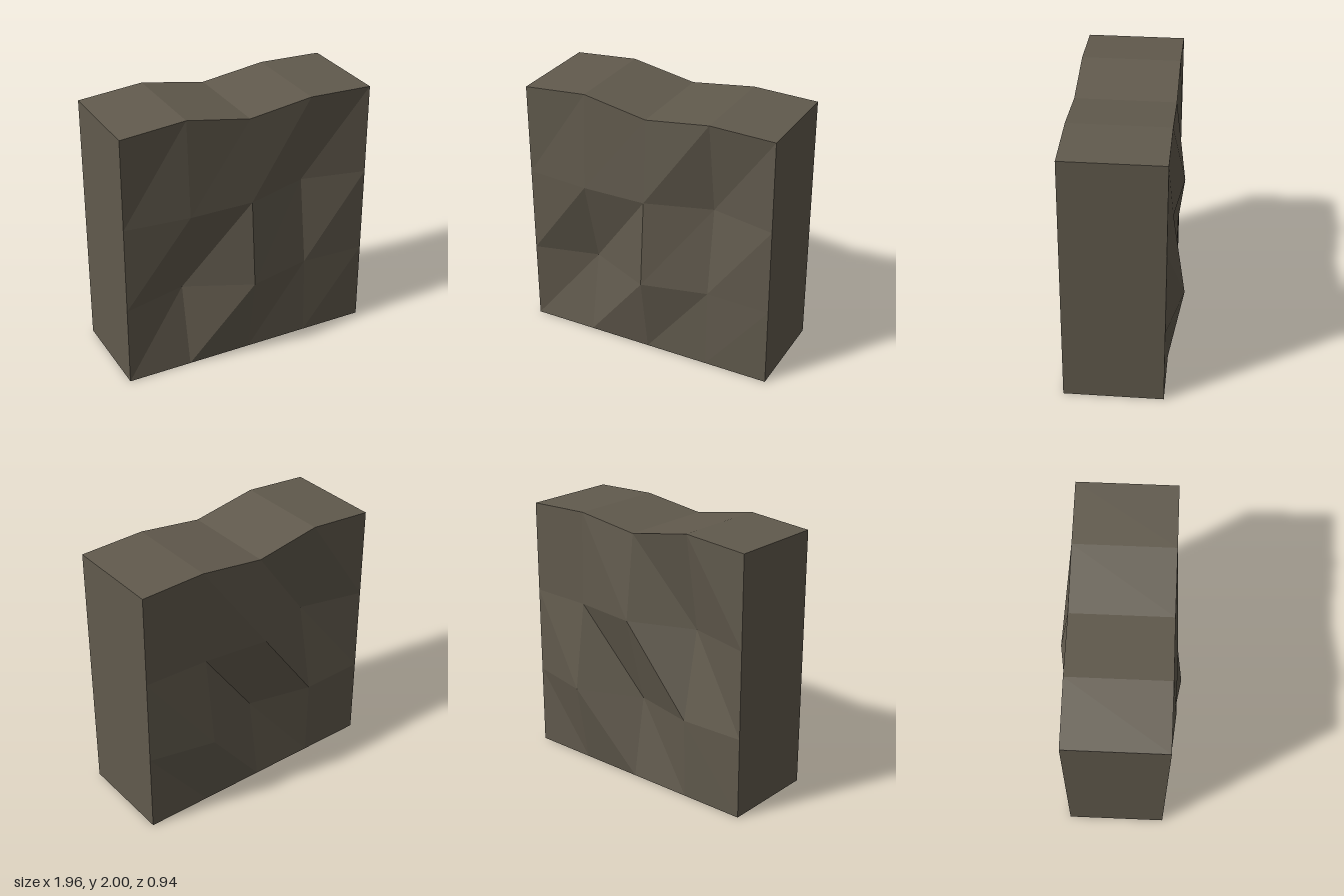
import * as THREE from 'three';

// Grid columns, inner row heights and the uneven top edge
const X = [-0.98, -0.49, 0, 0.49, 0.98];
const ROWS = [0, 0.612, 1.273];
const TOP = [1.96, 2.0, 1.91, 1.975, 1.96];
const FRONT = 0.372, BACK = -0.362;

// Depth of the inner points (columns 1-3) on rows 1 and 2
const FRONT_BUMPS = [[0.25, 0.472, 0.355], [0.418, 0.417, 0.265]];
const BACK_BUMPS = [[-0.375, -0.26, -0.473], [-0.24, -0.437, -0.378]];

function point(col, row, edge, bumps) {
  const inner = col > 0 && col < 4 && row > 0 && row < 3;
  const y = row === 3 ? TOP[col] : ROWS[row];
  return [X[col], y, inner ? bumps[row - 1][col - 1] : edge];
}
const front = (c, r) => point(c, r, FRONT, FRONT_BUMPS);
const back = (c, r) => point(c, r, BACK, BACK_BUMPS);

// Builds a mesh from quads, each split along its first-to-third corner
function quadMesh(name, quads, material) {
  const positions = quads.flatMap(([a, b, c, d]) => [a, b, c, a, c, d].flat());
  const geometry = new THREE.BufferGeometry();
  geometry.setAttribute('position', new THREE.Float32BufferAttribute(positions, 3));
  geometry.computeVertexNormals();
  const mesh = new THREE.Mesh(geometry, material);
  mesh.name = name;
  return mesh;
}

export function createModel() {
  const group = new THREE.Group();
  group.name = 'stoneSlab';
  const stone = new THREE.MeshStandardMaterial({ color: 0x615a4d, flatShading: true });
  stone.name = 'brownStone';

  const frontQuads = [], backQuads = [], topQuads = [], baseQuads = [], leftQuads = [], rightQuads = [];
  for (let c = 0; c < 4; c++) {
    // Rough faces
    for (let r = 0; r < 3; r++) {
      frontQuads.push([front(c, r), front(c + 1, r), front(c + 1, r + 1), front(c, r + 1)]);
      backQuads.push([back(c, r), back(c, r + 1), back(c + 1, r + 1), back(c + 1, r)]);
    }
    // Wavy top and flat base
    topQuads.push([front(c, 3), front(c + 1, 3), back(c + 1, 3), back(c, 3)]);
    baseQuads.push([back(c, 0), back(c + 1, 0), front(c + 1, 0), front(c, 0)]);
  }
  // Flat sides
  for (let r = 0; r < 3; r++) {
    leftQuads.push([front(4, r), back(4, r), back(4, r + 1), front(4, r + 1)]);
    rightQuads.push([back(0, r), front(0, r), front(0, r + 1), back(0, r + 1)]);
  }

  group.add(
    quadMesh('frontFace', frontQuads, stone),
    quadMesh('backFace', backQuads, stone),
    quadMesh('top', topQuads, stone),
    quadMesh('base', baseQuads, stone),
    quadMesh('leftSide', leftQuads, stone),
    quadMesh('rightSide', rightQuads, stone),
  );
  return group;
}
